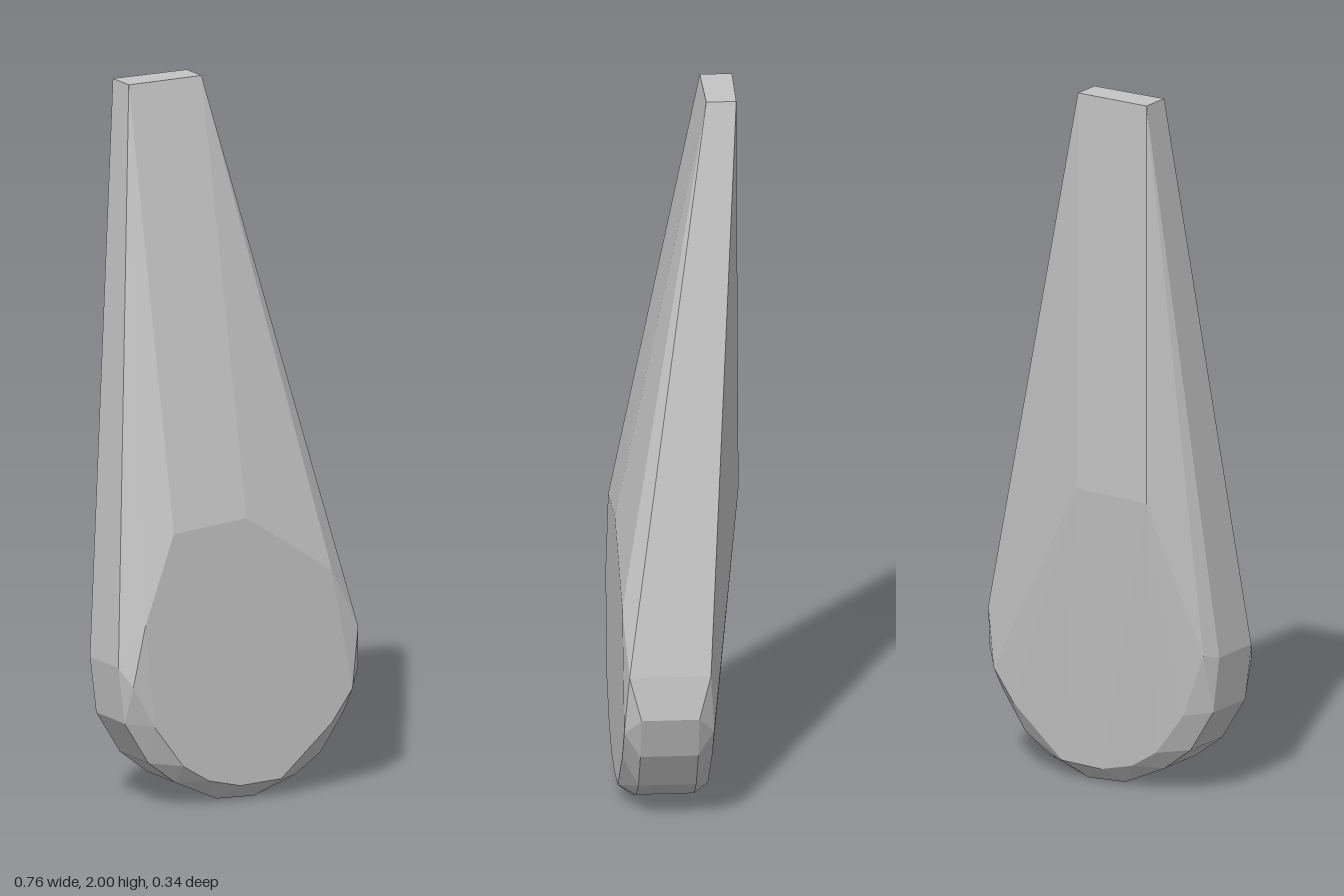
import * as THREE from 'three';
import { ConvexGeometry } from 'three/addons/geometries/ConvexGeometry.js';

// Place a 2D outline [x, y] at a given depth
const ring = (outline, z) => outline.map(([x, y]) => new THREE.Vector3(x, y, z));

export function createModel() {
  const group = new THREE.Group();
  const stone = new THREE.MeshStandardMaterial({ color: 0xc4c4c4 });
  stone.name = 'paleGrey';

  // Widest outline of the rounded lower end
  const rim = [
    [0.378, 0.33], [0.335, 0.21], [0.26, 0.1], [0.18, 0.045], [0.05, 0],
    [-0.07, 0.005], [-0.2, 0.065], [-0.285, 0.13], [-0.36, 0.25], [-0.38, 0.41],
  ];
  // Smaller outline inside the bevel, shared by front and back
  const bevel = [
    [0.335, 0.28], [0.27, 0.19], [0.11, 0.05], [-0.02, 0.045],
    [-0.12, 0.07], [-0.2, 0.12], [-0.29, 0.24],
  ];

  const points = [
    // narrow flat top
    ...ring([[-0.23, 2], [0, 2]], -0.083),
    new THREE.Vector3(-0.23, 2, -0.172),
    new THREE.Vector3(0, 2, -0.166),
    // rounded side band
    ...ring(rim, 0.125),
    ...ring(rim, -0.035),
    // flat front facet
    ...ring(bevel, 0.17),
    ...ring([[-0.23, 0.78], [0, 0.8], [0.27, 0.62], [-0.32, 0.53]], 0.17),
    ...ring([[-0.355, 0.36]], 0.165),
    ...ring([[0.36, 0.45]], 0.157),
    // sloping back facets
    ...ring(bevel, -0.079),
    ...ring([[-0.23, 0.86], [0, 0.87]], -0.172),
    ...ring([[-0.355, 0.42]], -0.077),
    ...ring([[0.36, 0.45]], -0.068),
  ];

  const blade = new THREE.Mesh(new ConvexGeometry(points), stone);
  blade.name = 'facetedStone';
  group.add(blade);
  return group;
}
